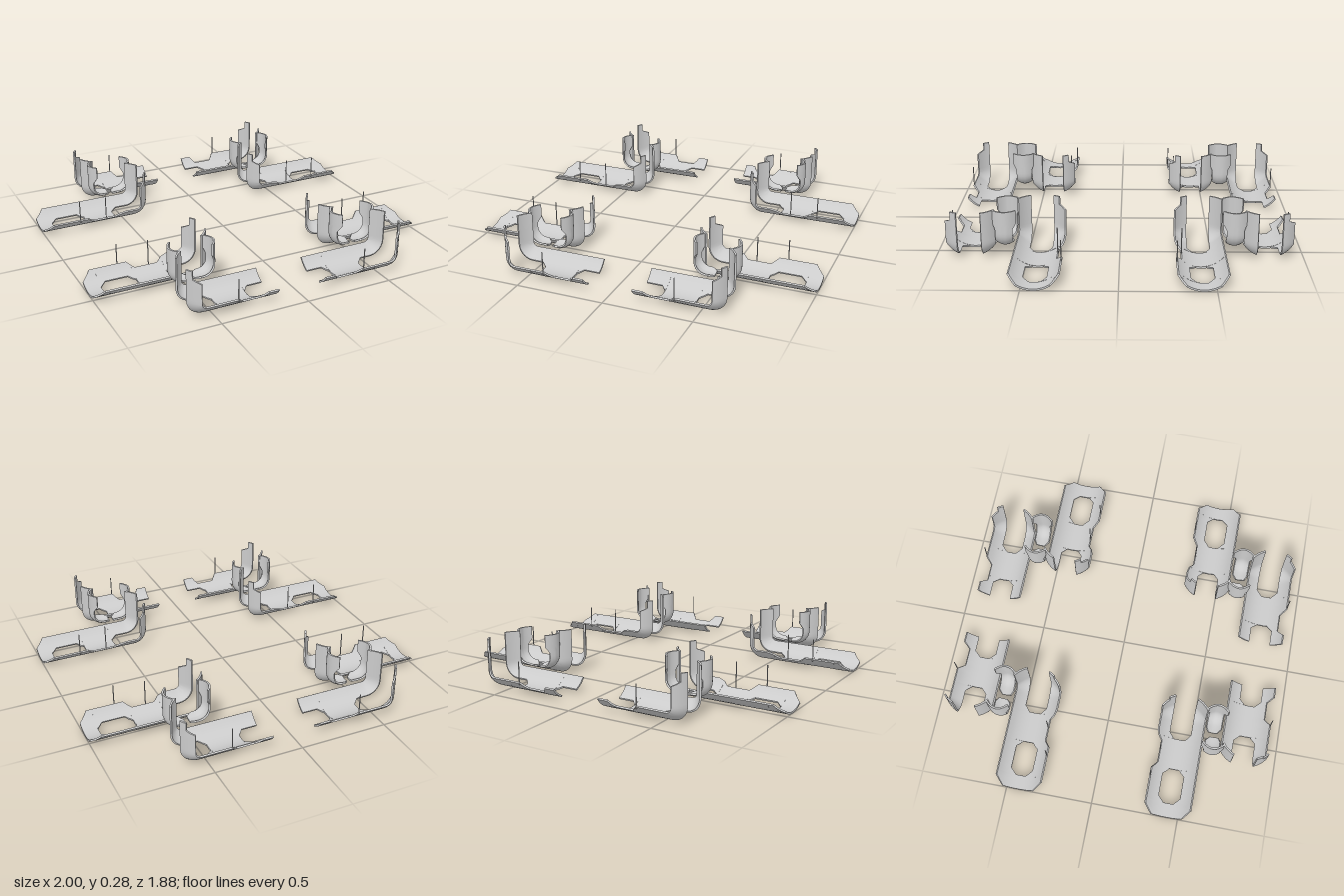
import * as THREE from 'three';
import { toCreasedNormals } from 'three/addons/utils/BufferGeometryUtils.js';

const material = new THREE.MeshStandardMaterial({ color: 0xcccccc, side: THREE.DoubleSide });
const T = 0.01; // sheet thickness
const K = 7;    // points across each rail

// J-shaped path: down a wall, round a bend, along a floor. Gives point and inward normal.
function pathPoint(u, { top, floor, R }) {
  const L = top - floor - R, arc = R * Math.PI / 2;
  if (u < L) return [0, top - u, 1, 0];
  if (u < L + arc) {
    const a = (u - L) / R, c = Math.cos(a), s = Math.sin(a);
    return [R - R * c, floor + R - R * s, c, s];
  }
  return [R + u - L - arc, floor, 0, 1];
}

// Bent sheet. Columns: [path length, low edge, half width of the cutout, high edge].
function bentSheet(name, cols, spec) {
  const stations = [cols[0]];
  for (let i = 1; i < cols.length; i++) {
    const a = cols[i - 1], b = cols[i];
    const n = Math.max(1, Math.ceil((b[0] - a[0]) / 0.02));
    for (let k = 1; k <= n; k++) stations.push(a.map((v, j) => v + (b[j] - v) * k / n));
  }
  const pos = [], index = [];
  for (const side of [-1, 1]) { // one rail on each side of the cutout
    const base = pos.length / 3, N = 2 * K;
    for (const [u, lo, h, hi] of stations) {
      const [px, py, nx, ny] = pathPoint(u, spec);
      const w0 = side < 0 ? lo : h, w1 = side < 0 ? -h : hi;
      for (let j = 0; j < N; j++) {
        const inner = j < K, t = (inner ? j : N - 1 - j) / (K - 1);
        const w = w0 + (w1 - w0) * t;
        const slope = (spec.sag(w + 1e-4) - spec.sag(w - 1e-4)) / 2e-4;
        const thick = inner ? T / Math.hypot(1, slope) : 0;
        const d = spec.sag(w) + thick;
        pos.push(px + nx * d, py + ny * d, w - thick * slope);
      }
    }
    for (let i = 0; i < stations.length - 1; i++) {
      for (let j = 0; j < N; j++) {
        const a = base + i * N + j, b = base + i * N + (j + 1) % N;
        index.push(a, b, b + N, a, b + N, a + N);
      }
    }
    // end caps
    const last = base + (stations.length - 1) * N;
    for (let j = 0; j < K - 1; j++) {
      const [a, b, c, d] = [j, j + 1, N - 2 - j, N - 1 - j];
      index.push(last + a, last + b, last + c, last + a, last + c, last + d);
      index.push(base + a, base + c, base + b, base + a, base + d, base + c);
    }
  }
  const geo = new THREE.BufferGeometry();
  geo.setAttribute('position', new THREE.Float32BufferAttribute(pos, 3));
  geo.setIndex(index);
  const mesh = new THREE.Mesh(toCreasedNormals(geo, 0.6), material);
  mesh.name = name;
  return mesh;
}

const troughSpec = { top: 0.275, floor: 0, R: 0.1, sag: w => 0.165 - Math.sqrt(0.165 ** 2 - w * w) };
const strapSpec = { top: 0.275, floor: 0.065, R: 0.08, sag: w => 8 * w * w };
const F = 0.232; // path length where the wall plane meets the floor

// forked posts with a shoulder, shared by both troughs
const posts = [
  [0, -0.1, 0.066, 0.135], [0.045, -0.1, 0.066, 0.135], [0.065, -0.135, 0.066, 0.135],
];
const longCols = [
  ...posts,
  [F + 0.17, -0.135, 0.066, 0.135], [F + 0.205, -0.127, 0.035, 0.135],
  [F + 0.205, -0.127, 0, 0.135], [F + 0.235, -0.105, 0, 0.135],
  [F + 0.365, -0.105, 0, 0.135], [F + 0.385, -0.12, 0, 0.135],
  [F + 0.385, -0.12, 0.03, 0.135], [F + 0.405, -0.135, 0.048, 0.135],
  [F + 0.42, -0.135, 0.066, 0.135], [F + 0.55, -0.135, 0.066, 0.135],
  [F + 0.585, -0.135, 0.03, 0.135], [F + 0.585, -0.135, 0, 0.135],
  [F + 0.615, -0.135, 0, 0.135], [F + 0.665, -0.09, 0, 0.09],
];
const shortCols = [
  ...posts,
  [F + 0.165, -0.135, 0.066, 0.135], [F + 0.2, -0.135, 0.03, 0.135],
  [F + 0.2, -0.135, 0, 0.135], [F + 0.28, -0.135, 0, 0.135],
  [F + 0.315, -0.1, 0, 0.135], [F + 0.39, -0.1, 0, 0.135],
  [F + 0.39, -0.1, 0.03, 0.135], [F + 0.42, -0.1, 0.066, 0.135],
  [F + 0.45, -0.135, 0.066, 0.135], [F + 0.51, -0.135, 0.066, 0.135],
];
const strapCols = [
  [0, -0.065, 0, 0.065], [0.07, -0.065, 0, 0.065], [0.105, -0.05, 0, 0.045],
  [0.27, -0.05, 0, 0.045], [0.296, -0.035, 0, 0.02],
];

// trough with its side panel and curved flap
function bracket(name, cols) {
  const g = new THREE.Group();
  g.name = name;
  const strap = bentSheet('sideFlap', strapCols, strapSpec);
  strap.position.set(0.025, 0, 0.187);
  g.add(bentSheet('trough', cols, troughSpec), strap);
  return g;
}

function pin(x, z, y0) {
  const m = new THREE.Mesh(new THREE.CylinderGeometry(0.003, 0.003, 0.19 - y0, 8), material);
  m.name = 'pin';
  m.position.set(x, (0.19 + y0) / 2, z);
  return m;
}

function corner(name) {
  const g = new THREE.Group();
  g.name = name;
  const long = bracket('longBracket', longCols);
  long.position.set(0.335, 0, 0.433);
  // the short bracket faces the other way
  const short = bracket('shortBracket', shortCols);
  short.rotation.y = Math.PI;
  short.position.set(0.65, 0, 0.807);
  g.add(long, short, pin(0.79, 0.303, 0.06), pin(0.62, 0.333, 0.04), pin(0.375, 0.937, 0.06));
  return g;
}

export function createModel() {
  const model = new THREE.Group();
  model.name = 'bracketSet';
  for (const sx of [1, -1]) {
    for (const sz of [1, -1]) {
      const c = corner((sz > 0 ? 'front' : 'back') + (sx > 0 ? 'Left' : 'Right') + 'Corner');
      c.scale.set(sx, 1, sz);
      model.add(c);
    }
  }
  return model;
}
